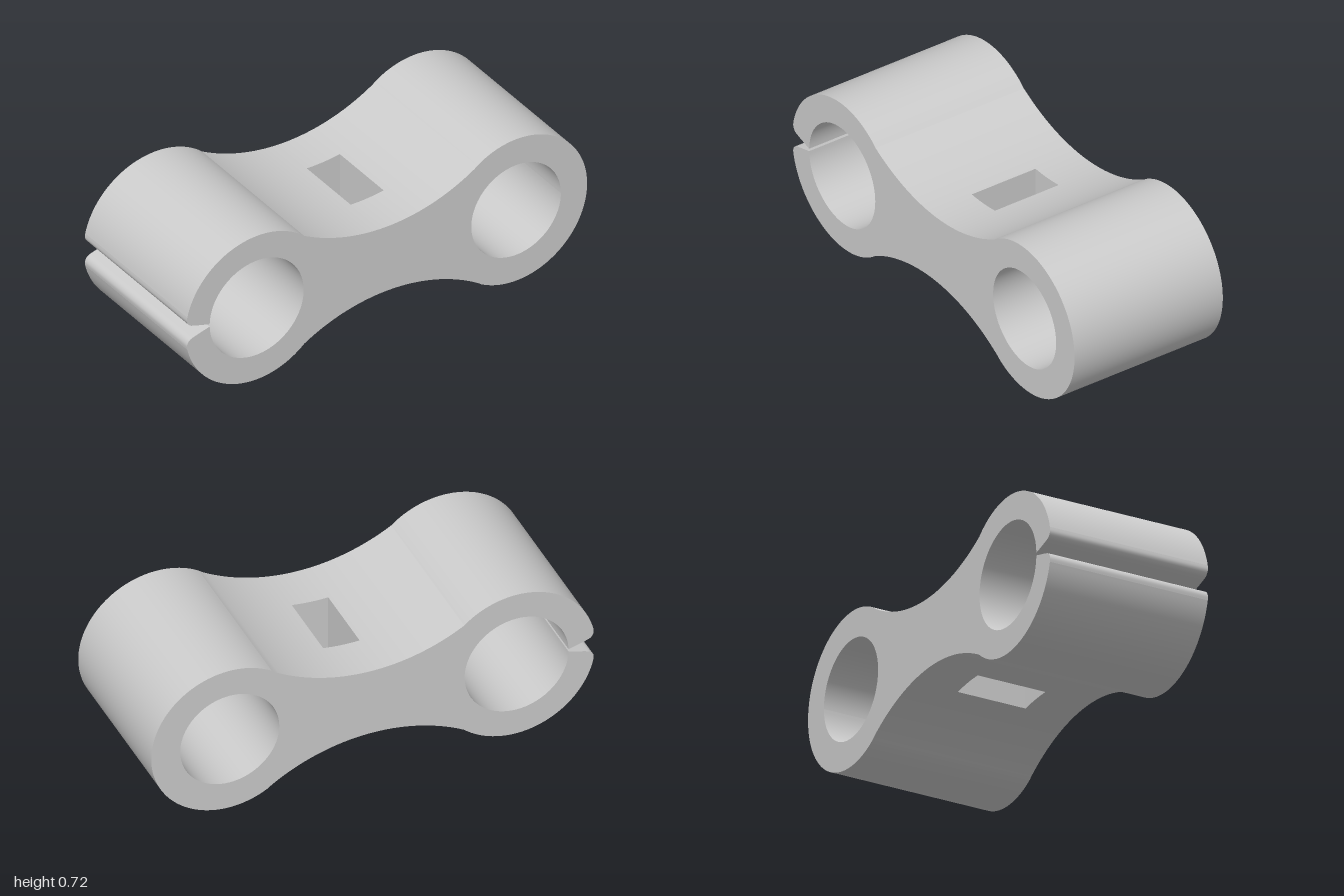
import * as THREE from 'three';

const CY = 0.358;                       // height of the centre line
const DEPTH = 0.378;                    // half depth
const WAIST_R = 0.84, WAIST_H = 0.16;   // waist curve radius and half height
const WIN = { x0: -0.035, x1: 0.13, z0: -0.165, z1: 0.16 };
const LEFT = { x: -0.65, r: 0.358 }, LEFT_BORE = { x: -0.652, r: 0.235 };
const RIGHT = { x: 0.647, r: 0.353 }, RIGHT_BORE = { x: 0.645, r: 0.224 };

const V = (x, y) => new THREE.Vector2(x, y);

// Points along a circular arc centred on the centre line
function arc(c, a0, a1, n) {
  return Array.from({ length: n + 1 }, (_, i) => {
    const a = a0 + (a1 - a0) * i / n;
    return V(c.x + c.r * Math.cos(a), CY + c.r * Math.sin(a));
  });
}

// Points along the concave waist; side is +1 for the top, -1 for the underside
function waist(x0, x1, side, n = 20) {
  return Array.from({ length: n + 1 }, (_, i) => {
    const x = x0 + (x1 - x0) * i / n;
    return V(x, CY + side * (WAIST_H + WAIST_R - Math.sqrt(WAIST_R ** 2 - x * x)));
  });
}

// Wall swept along z, facing to the right of the direction of travel
function wall(points, z0 = -DEPTH, z1 = DEPTH) {
  const pos = [], index = [];
  points.forEach((p, i) => {
    pos.push(p.x, p.y, z0, p.x, p.y, z1);
    if (i) {
      const a = 2 * i - 2;
      index.push(a, a + 2, a + 1, a + 2, a + 3, a + 1);
    }
  });
  const g = new THREE.BufferGeometry();
  g.setAttribute('position', new THREE.Float32BufferAttribute(pos, 3));
  g.setIndex(index);
  g.computeVertexNormals();
  return g;
}

// Flat face at a given z, facing +z or -z
function face(shape, z, dir) {
  const g = new THREE.ShapeGeometry(shape);
  g.translate(0, 0, z);
  if (dir < 0) {
    g.setIndex(Array.from(g.index.array).reverse());
    g.computeVertexNormals();
  }
  return g;
}

export function createModel() {
  const model = new THREE.Group();
  model.name = 'doubleTubeClamp';
  const material = new THREE.MeshStandardMaterial({ color: 0xcccccc });
  const add = (name, geometry) => {
    const mesh = new THREE.Mesh(geometry, material);
    mesh.name = name;
    model.add(mesh);
  };

  // Angles where the waist meets the rings and where the slit cuts the left one
  const xl = -0.415, xr = 0.4555;
  const joinL = Math.acos((xl - LEFT.x) / LEFT.r);
  const joinR = Math.acos((xr - RIGHT.x) / RIGHT.r);
  const lipA = Math.PI - Math.asin(0.08 / LEFT.r);
  const slitA = Math.PI - Math.asin(0.006 / LEFT_BORE.r);

  // Rounded lip of the slit, running inwards to the bore
  const lip = side => new THREE.SplineCurve([
    V(-0.999, CY + side * 0.08), V(-1.0, CY + side * 0.058), V(-0.988, CY + side * 0.038),
    V(-0.962, CY + side * 0.027), V(-0.887, CY + side * 0.006),
  ]).getPoints(16);

  // Outline, counter-clockwise, in named runs
  const runs = [
    ['leftRingTop', arc(LEFT, joinL, lipA, 40)],
    ['upperLip', lip(1)],
    ['leftBore', arc(LEFT_BORE, slitA, -slitA, 96)],
    ['lowerLip', lip(-1).reverse()],
    ['leftRingBottom', arc(LEFT, -lipA, -joinL, 40)],
    ['waistBottomLeft', waist(xl, WIN.x0, -1)],
    ['waistBottomWindow', waist(WIN.x0, WIN.x1, -1, 8)],
    ['waistBottomRight', waist(WIN.x1, xr, -1)],
    ['rightRing', arc(RIGHT, -joinR, joinR, 80)],
    ['waistTopRight', waist(xr, WIN.x1, 1)],
    ['waistTopWindow', waist(WIN.x1, WIN.x0, 1, 8)],
    ['waistTopLeft', waist(WIN.x0, xl, 1)],
  ];
  // Start each run exactly where the one before it ended
  runs.forEach(([, pts], i) => {
    const before = runs[(i + runs.length - 1) % runs.length][1];
    pts[0] = before[before.length - 1].clone();
  });

  // Outer walls; the window runs are left open between the window's ends
  for (const [name, pts] of runs) {
    if (name.endsWith('Window')) {
      add(name + 'Back', wall(pts, -DEPTH, WIN.z0));
      add(name + 'Front', wall(pts, WIN.z1, DEPTH));
    } else add(name, wall(pts));
  }

  // Right bore
  const bore = arc(RIGHT_BORE, Math.PI * 2, 0, 96);
  add('rightBore', wall(bore));

  // Front and back faces
  const outline = new THREE.Shape(runs.flatMap(([, pts]) => pts.slice(1)));
  outline.holes.push(new THREE.Path(bore.slice(1)));
  add('frontFace', face(outline, DEPTH, 1));
  add('backFace', face(outline, -DEPTH, -1));

  // Inner walls of the rectangular window through the waist
  const low = waist(WIN.x0, WIN.x1, -1, 8), high = waist(WIN.x1, WIN.x0, 1, 8);
  const section = new THREE.Shape([...low, ...high]);
  add('windowBack', face(section, WIN.z0, 1));
  add('windowFront', face(section, WIN.z1, -1));
  add('windowRight', wall([low[0], high[8]], WIN.z0, WIN.z1));
  add('windowLeft', wall([high[0], low[8]], WIN.z0, WIN.z1));

  return model;
}
